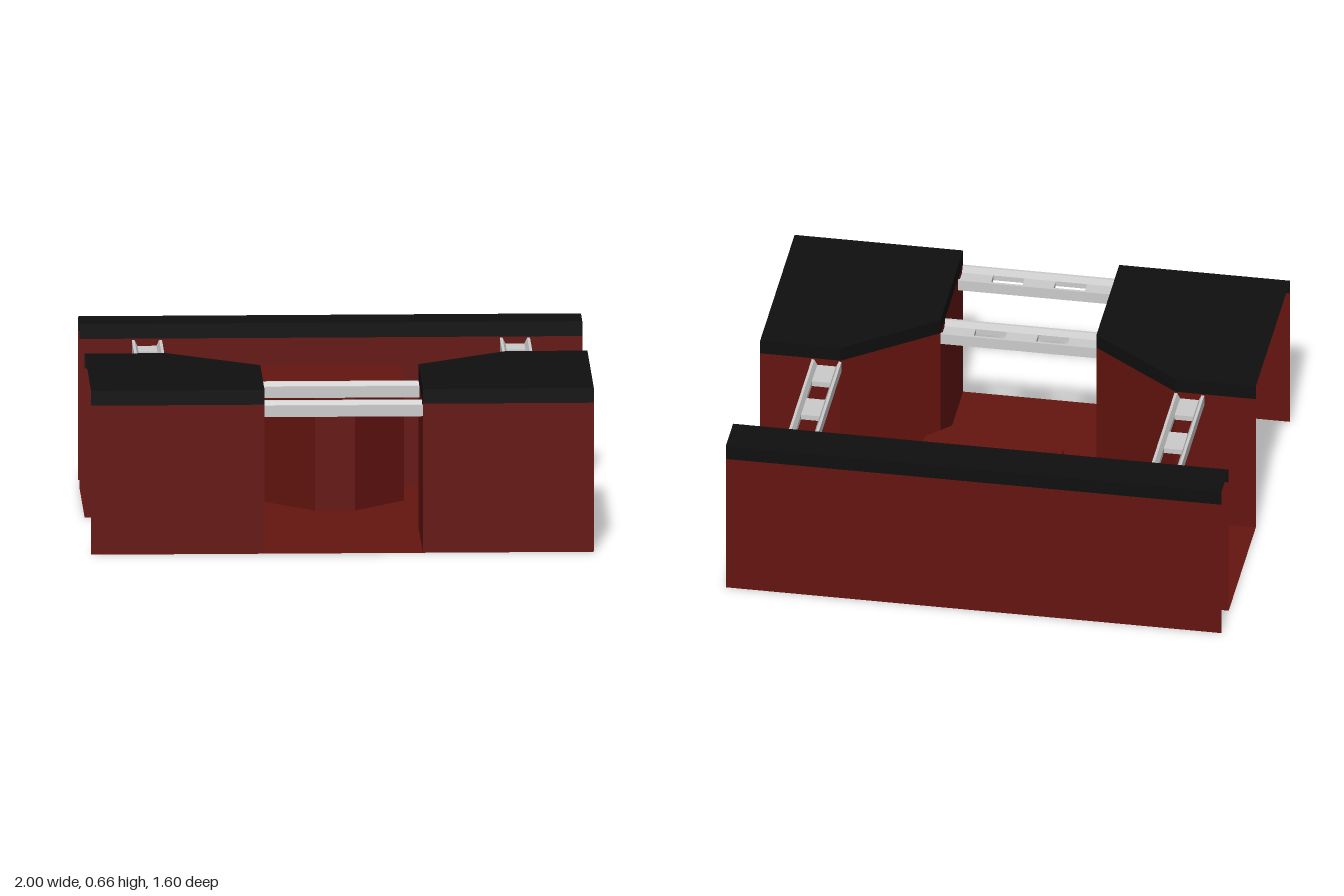
import * as THREE from 'three';
import { mergeGeometries } from 'three/addons/utils/BufferGeometryUtils.js';

const mat = (color) => new THREE.MeshStandardMaterial({ color, side: THREE.DoubleSide, flatShading: true });

const WALL_TOP = 0.603, TOP = 0.663, BACK = -0.63, END = -0.8;

// Upright sheet following a line of [x, z] points
function wallStrip(points, y0, y1) {
  const pos = [];
  for (let i = 0; i < points.length - 1; i++) {
    const [ax, az] = points[i], [bx, bz] = points[i + 1];
    pos.push(ax, y0, az, bx, y0, bz, bx, y1, bz, ax, y0, az, bx, y1, bz, ax, y1, az);
  }
  const g = new THREE.BufferGeometry();
  g.setAttribute('position', new THREE.Float32BufferAttribute(pos, 3));
  g.computeVertexNormals();
  return g;
}

// Level sheet with an outline of [x, z] points
function slab(points, y) {
  const shape = new THREE.Shape(points.map(([x, z]) => new THREE.Vector2(x, -z)));
  const g = new THREE.ShapeGeometry(shape).rotateX(-Math.PI / 2).translate(0, y, 0).toNonIndexed();
  g.deleteAttribute('uv');
  return g;
}

// Channel beam along x, from 0 to length, with two openings in its web
function beamGeometry(length) {
  const flange = [[-0.06, 0], [-0.0375, 0], [-0.0375, 0.022], [-0.049, 0.046], [-0.06, 0.046]];
  const parts = [];
  for (const side of [1, -1]) {
    const pts = flange.map(([z, y]) => new THREE.Vector2(z * side, y));
    const g = new THREE.ExtrudeGeometry(new THREE.Shape(pts), { depth: length, bevelEnabled: false });
    parts.push(g.rotateY(Math.PI / 2));
  }
  // Web plates between the openings
  const cuts = [[0, 0.2], [0.4, 0.6], [0.8, 1]];
  for (const [a, b] of cuts) {
    const g = new THREE.BoxGeometry((b - a) * length, 0.022, 0.075).toNonIndexed();
    parts.push(g.translate((a + b) / 2 * length, 0.011, 0));
  }
  return mergeGeometries(parts);
}

export function createModel() {
  const model = new THREE.Group();
  const red = mat(0x64140f), black = mat(0x0f0f0f), grey = mat(0xcccccc);
  const add = (name, geometry, material) => {
    const m = new THREE.Mesh(geometry, material);
    m.name = name;
    model.add(m);
    return m;
  };

  // Corner blocks: walls open on the outer side, with a dark cap
  for (const [name, s, inner] of [['left', 1, 0.32], ['right', -1, 0.31]]) {
    const line = [[1, 0.8], [inner, 0.8], [inner, 0.27], [0.675, 0], [1, 0]].map(([x, z]) => [x * s, z]);
    add(name + 'BlockWalls', wallStrip(line, 0, WALL_TOP), red);
    add(name + 'BlockCap', mergeGeometries([wallStrip(line, WALL_TOP, TOP), slab(line, TOP)]), black);
  }

  // Pedestal against the back wall, open below
  const pedestal = [[0.28, BACK], [0.28, -0.32], [0.08, -0.115], [-0.08, -0.115], [-0.28, -0.32], [-0.28, BACK]];
  const pedestalHeight = 0.49;
  add('pedestal', mergeGeometries([wallStrip(pedestal, 0, pedestalHeight), slab(pedestal, pedestalHeight)]), red);

  // Floor, cut out around the pedestal
  add('floor', slab([
    [0.32, 0.8], [0.32, 0.27], [0.675, 0], [1, 0], [1, BACK], ...pedestal,
    [-1, BACK], [-1, 0], [-0.675, 0], [-0.31, 0.27], [-0.31, 0.8],
  ], 0), red);

  // Back wall: two sheets under a dark cap, open at the ends
  add('backWallInner', mergeGeometries([
    wallStrip([[-1, BACK], [-0.28, BACK]], 0, WALL_TOP),
    wallStrip([[-0.28, BACK], [0.28, BACK]], pedestalHeight, WALL_TOP),
    wallStrip([[0.28, BACK], [1, BACK]], 0, WALL_TOP),
  ]), red);
  add('backWallOuter', wallStrip([[1, END], [-1, END]], 0, WALL_TOP), red);
  add('backWallCap', mergeGeometries([
    wallStrip([[-1, BACK], [1, BACK]], WALL_TOP, TOP),
    wallStrip([[1, END], [-1, END]], WALL_TOP, TOP),
    slab([[-1, BACK], [1, BACK], [1, END], [-1, END]], TOP),
  ]), black);

  // Channel beams over the openings
  const beam = beamGeometry(0.63);
  for (const [name, z] of [['frontBeam', 0.738], ['middleBeam', 0.332]]) {
    add(name, beam, grey).position.set(-0.31, 0.552, z);
  }
  for (const [name, x] of [['leftBeam', 0.732], ['rightBeam', -0.732]]) {
    const m = add(name, beam, grey);
    m.position.set(x, 0.552, 0);
    m.rotation.y = Math.PI / 2;
  }
  return model;
}
